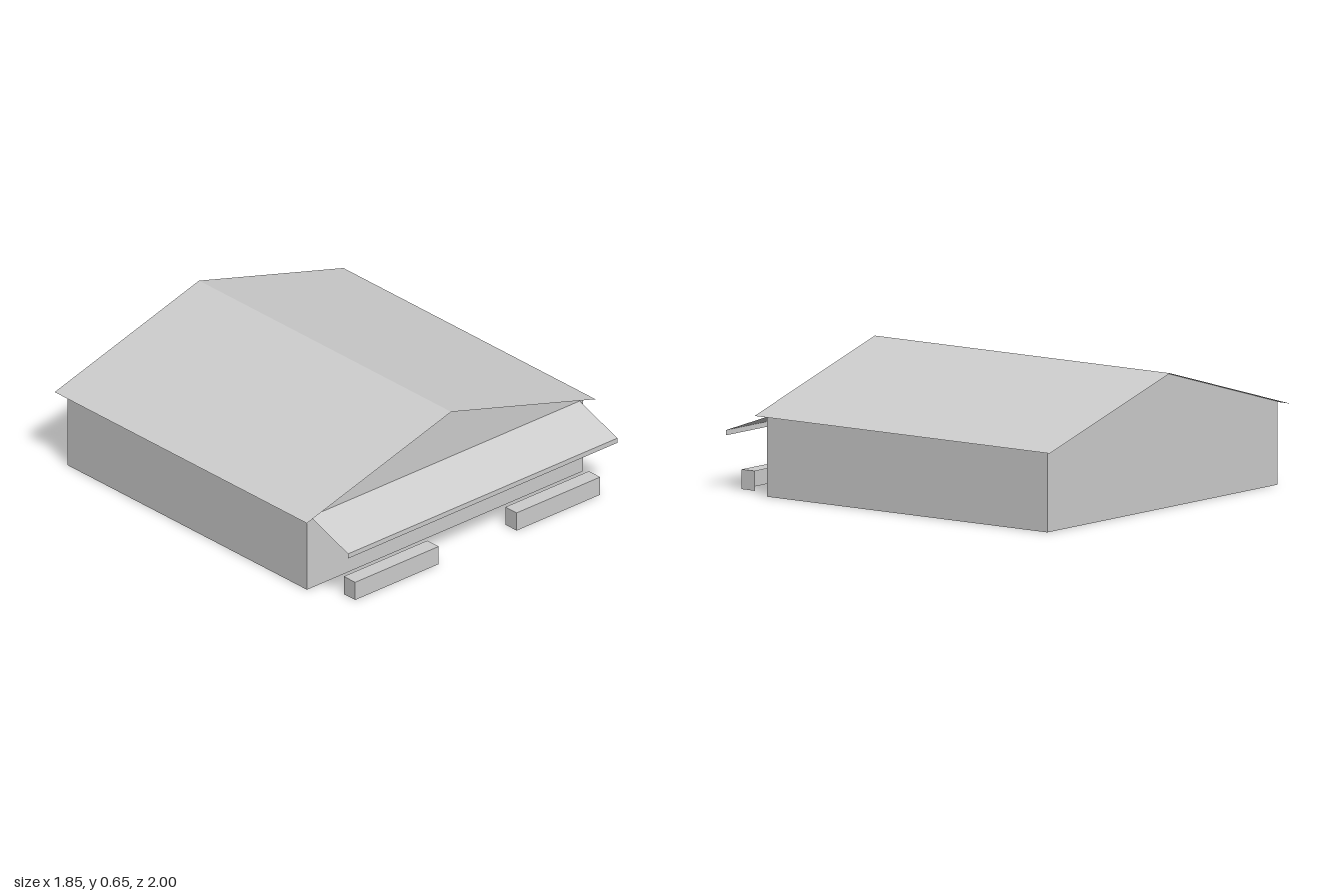
import * as THREE from 'three';

const grey = new THREE.MeshStandardMaterial({ color: 0xcccccc, side: THREE.DoubleSide });
grey.name = 'plain grey';

// Open sheet extruded along one axis from a polyline, with flat faces.
// place(u, v, t) maps a profile point and a sweep position to [x, y, z].
function sheet(name, profile, from, to, place) {
  const pos = [];
  for (let i = 0; i < profile.length - 1; i++) {
    const a = place(...profile[i], from), b = place(...profile[i + 1], from);
    const c = place(...profile[i + 1], to), d = place(...profile[i], to);
    pos.push(...a, ...b, ...c, ...a, ...c, ...d);
  }
  const geo = new THREE.BufferGeometry();
  geo.setAttribute('position', new THREE.Float32BufferAttribute(pos, 3));
  geo.computeVertexNormals();
  const mesh = new THREE.Mesh(geo, grey);
  mesh.name = name;
  return mesh;
}
const alongZ = (x, y, z) => [x, y, z];
const alongX = (z, y, x) => [x, y, z];

// Flat upright panel facing front or back
function panel(name, points, z, back = false) {
  const shape = new THREE.Shape(points.map(([x, y]) => new THREE.Vector2(x, y)));
  const mesh = new THREE.Mesh(new THREE.ShapeGeometry(shape), grey);
  mesh.name = name;
  mesh.position.z = z;
  if (back) mesh.rotation.y = Math.PI;
  return mesh;
}

export function createModel() {
  const model = new THREE.Group();
  model.name = 'building';
  const w = 0.885, eave = 0.4, ridge = 0.655, front = 0.735, rear = -0.955;

  // Gable walls
  const gable = [[-w, 0], [w, 0], [w, eave], [0, ridge], [-w, eave]];
  model.add(panel('frontWall', gable, front), panel('backWall', gable, rear, true));

  // Side walls
  model.add(sheet('rightWall', [[w, eave], [w, 0]], rear, front, alongZ));
  model.add(sheet('leftWall', [[-w, 0], [-w, eave]], rear, front, alongZ));

  // Thin pitched roof, overhanging on all sides
  model.add(sheet('roof', [[-0.925, 0.389], [0, ridge], [0.925, 0.389]], 0.778, -1, (x, y, z) => [x, y, -0.111 * 2 - z]));

  // Sloping awning with a short front lip
  model.add(sheet('awning', [[front, 0.385], [1, 0.29], [1, 0.265]], -0.863, 0.863, (z, y, x) => [-x, y, z]));

  // Two low front ledges, open behind and below
  for (const [name, x0, x1] of [['leftLedge', -0.785, -0.25], ['rightLedge', 0.25, 0.785]]) {
    const ledge = new THREE.Group();
    ledge.name = name;
    const h = 0.095, z0 = 0.885, z1 = 0.965;
    ledge.add(sheet('ledgeTopAndFront', [[z0, h], [z1, h], [z1, 0]], x1, x0, alongX));
    ledge.add(sheet('ledgeEnd', [[x1, h], [x1, 0]], z0, z1, alongZ));
    ledge.add(sheet('ledgeEnd', [[x0, 0], [x0, h]], z0, z1, alongZ));
    model.add(ledge);
  }
  return model;
}
